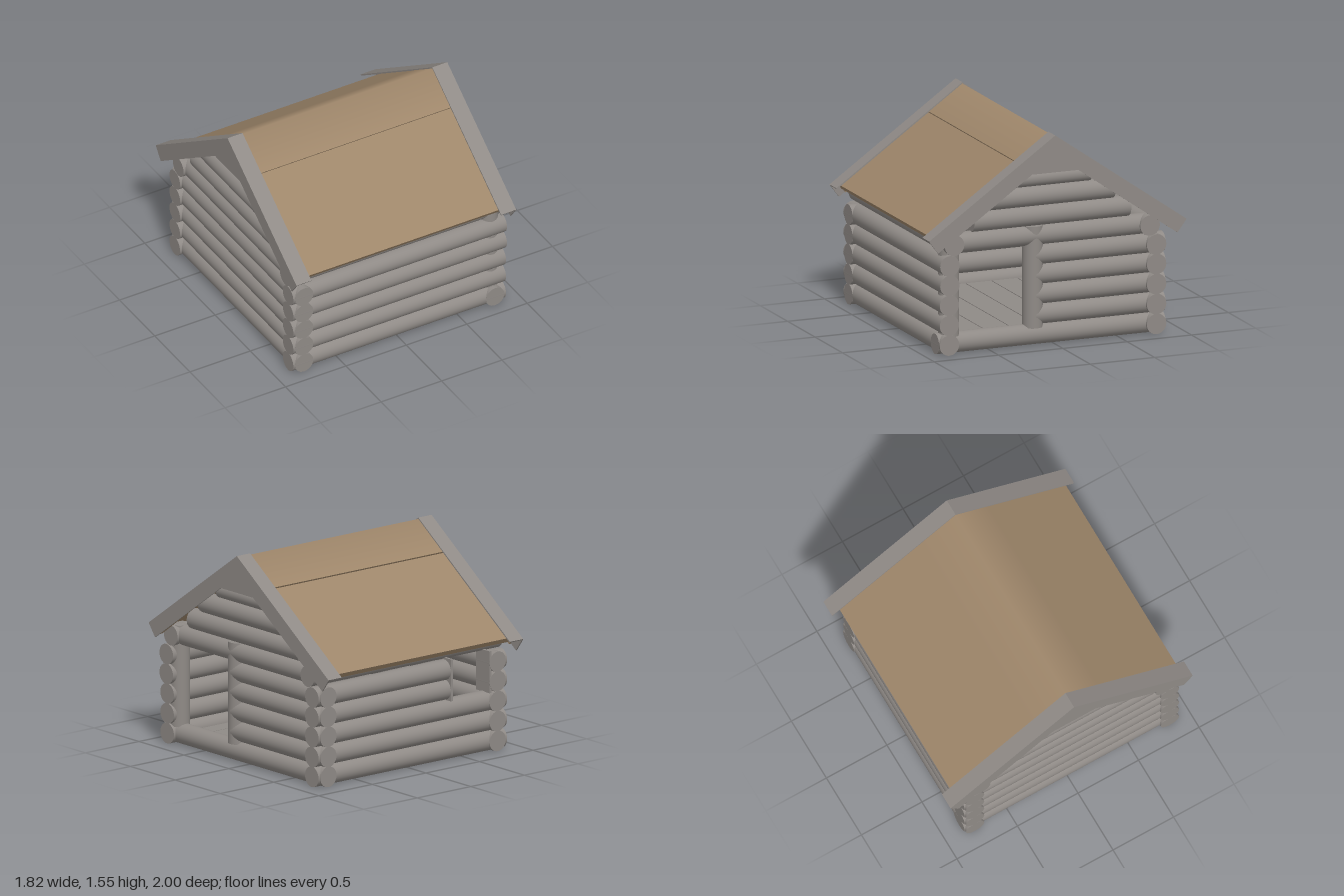
import * as THREE from 'three';

const wood = new THREE.MeshStandardMaterial({ color: 0x8f8a86 });
wood.name = 'weathered grey wood';
const roofing = new THREE.MeshStandardMaterial({ color: 0x9e866a });
roofing.name = 'tan roofing';

const R = 0.0755;                                 // log radius
const ROWS = [0.076, 0.222, 0.37, 0.517, 0.662];  // wall log heights
const FRONT = 0.83, BACK = -0.78, SIDE = 0.79;    // wall centre lines
const RIDGE_Z = 0.02;

export function createModel() {
  const model = new THREE.Group();
  model.name = 'logCabin';

  const add = (name, geometry, material = wood, parent = model) => {
    const mesh = new THREE.Mesh(geometry, material);
    mesh.name = name;
    parent.add(mesh);
    return mesh;
  };
  const group = (name) => {
    const g = new THREE.Group();
    g.name = name;
    model.add(g);
    return g;
  };

  // Round log helpers: along x, along z, and upright
  const logX = (parent, name, x0, x1, y, z) =>
    add(name, new THREE.CylinderGeometry(R, R, x1 - x0, 32).rotateZ(Math.PI / 2), wood, parent)
      .position.set((x0 + x1) / 2, y, z);
  const logZ = (parent, name, z0, z1, y, x, r = R) =>
    add(name, new THREE.CylinderGeometry(r, r, z1 - z0, 32).rotateX(Math.PI / 2), wood, parent)
      .position.set(x, y, (z0 + z1) / 2);

  // Prism along x from a [z, y] outline
  const prismX = (points, x0, x1) => {
    const shape = new THREE.Shape(points.map(([z, y]) => new THREE.Vector2(-z, y)));
    return new THREE.ExtrudeGeometry(shape, { depth: x1 - x0, bevelEnabled: false })
      .rotateY(Math.PI / 2).translate(x0, 0, 0);
  };
  // Outline of a bent sheet following both roof slopes, with square-cut eaves
  const chevron = (apexY, slope, zFront, zBack, thick) => {
    const y = (z) => apexY - slope * Math.abs(z - RIDGE_Z);
    const len = Math.hypot(1, slope);
    const dz = thick * slope / len, dy = thick / len;
    return [
      [zFront, y(zFront)], [RIDGE_Z, apexY], [zBack, y(zBack)],
      [zBack + dz, y(zBack) - dy], [RIDGE_Z, apexY - thick * len], [zFront - dz, y(zFront) - dy],
    ];
  };

  // Front and back walls; the back has a window opening in its top two rows
  const frontWall = group('frontWall'), backWall = group('backWall');
  ROWS.forEach((y, i) => {
    logX(frontWall, 'frontLog', -0.88, i > 2 ? 0.888 : 0.88, y, FRONT);
    if (i < 3) {
      logX(backWall, 'backLog', -0.88, 0.88, y, BACK);
    } else {
      logX(backWall, 'backLogLong', -0.36, 0.88, y, BACK);
      logX(backWall, 'backLogStub', -0.88, -0.73, y, BACK);
    }
  });
  logX(frontWall, 'frontTopLog', -0.88, 0.88, 0.807, 0.79);
  logX(backWall, 'backTopLog', -0.88, 0.88, 0.807, -0.73);
  for (const x of [-0.365, -0.725]) {
    add('windowJamb', new THREE.BoxGeometry(0.02, 0.31, 0.15), wood, backWall)
      .position.set(x, 0.595, BACK);
  }

  // Side walls; the left (+x) one has the doorway
  const leftWall = group('doorWall'), rightWall = group('plainWall');
  ROWS.forEach((y, i) => {
    logZ(rightWall, 'sideLog', -0.858, 0.905, y, -SIDE);
    logZ(leftWall, 'sideLog', -0.858, i === 0 ? 0.905 : 0.15, y, SIDE);
  });
  for (const z of [0.147, 0.799]) {
    add('doorPost', new THREE.CylinderGeometry(0.0745, 0.0745, 0.75, 32), wood, leftWall)
      .position.set(SIDE, 0.505, z);
  }

  // Top side logs and gable logs, shorter towards the ridge
  for (const [wall, x] of [[leftWall, SIDE], [rightWall, -SIDE]]) {
    logZ(wall, 'sideTopLog', -0.73, 0.79, 0.807, x);
    [[0.61, 0.95, R], [0.49, 1.095, R], [0.31, 1.225, 0.06]].forEach(([half, y, r]) =>
      logZ(wall, 'gableLog', RIDGE_Z - half, RIDGE_Z + half, y, x, r));
  }

  // Floor planks
  const floor = group('floor');
  const planks = 8, width = (FRONT - BACK) / planks;
  for (let i = 0; i < planks; i++) {
    add('floorPlank', new THREE.BoxGeometry(2 * SIDE, 0.05, width - 0.007), wood, floor)
      .position.set(0, 0.06, BACK + (i + 0.5) * width);
  }

  // Roof sheet with deeper edges under the gable trim
  const roof = group('roof');
  add('roofSheet', prismX(chevron(1.53, 0.722, 0.94, -0.93, 0.045), -0.897, 0.897), roofing, roof);
  for (const x of [-0.896, 0.88]) {
    add('roofEdge', prismX(chevron(1.5, 0.722, 0.92, -0.91, 0.06), x, x + 0.016), roofing, roof);
  }

  // Ridge cap, shaded smoothly over the ridge
  const cap = prismX(chevron(1.542, 0.7, 0.28, -0.25, 0.02), -0.89, 0.89);
  const p = cap.attributes.position, n = cap.attributes.normal;
  for (let i = 0; i < p.count; i++) {
    if (n.getY(i) > 0.5 && Math.abs(p.getZ(i) - RIDGE_Z) < 0.001) n.setXYZ(i, 0, 1, 0);
  }
  add('ridgeCap', cap, roofing, roof);

  // Gable trim: a flat strip over the roof edge and a thin face board
  const board = [
    [1, 0.864], [RIDGE_Z, 1.55], [-1, 0.836], [-0.93, 0.742],
    [-0.16, 1.28], [0.2, 1.28], [0.93, 0.77],
  ];
  for (const s of [-1, 1]) {
    const trim = group(s > 0 ? 'leftGableTrim' : 'rightGableTrim');
    const inner = 0.785 * s, outer = 0.909 * s, face = 0.899 * s;
    add('trimStrip', prismX(chevron(1.552, 0.7, 1, -1, 0.01),
      Math.min(inner, outer), Math.max(inner, outer)), wood, trim);
    add('faceBoard', prismX(board, Math.min(face, outer), Math.max(face, outer)), wood, trim);
  }

  return model;
}
